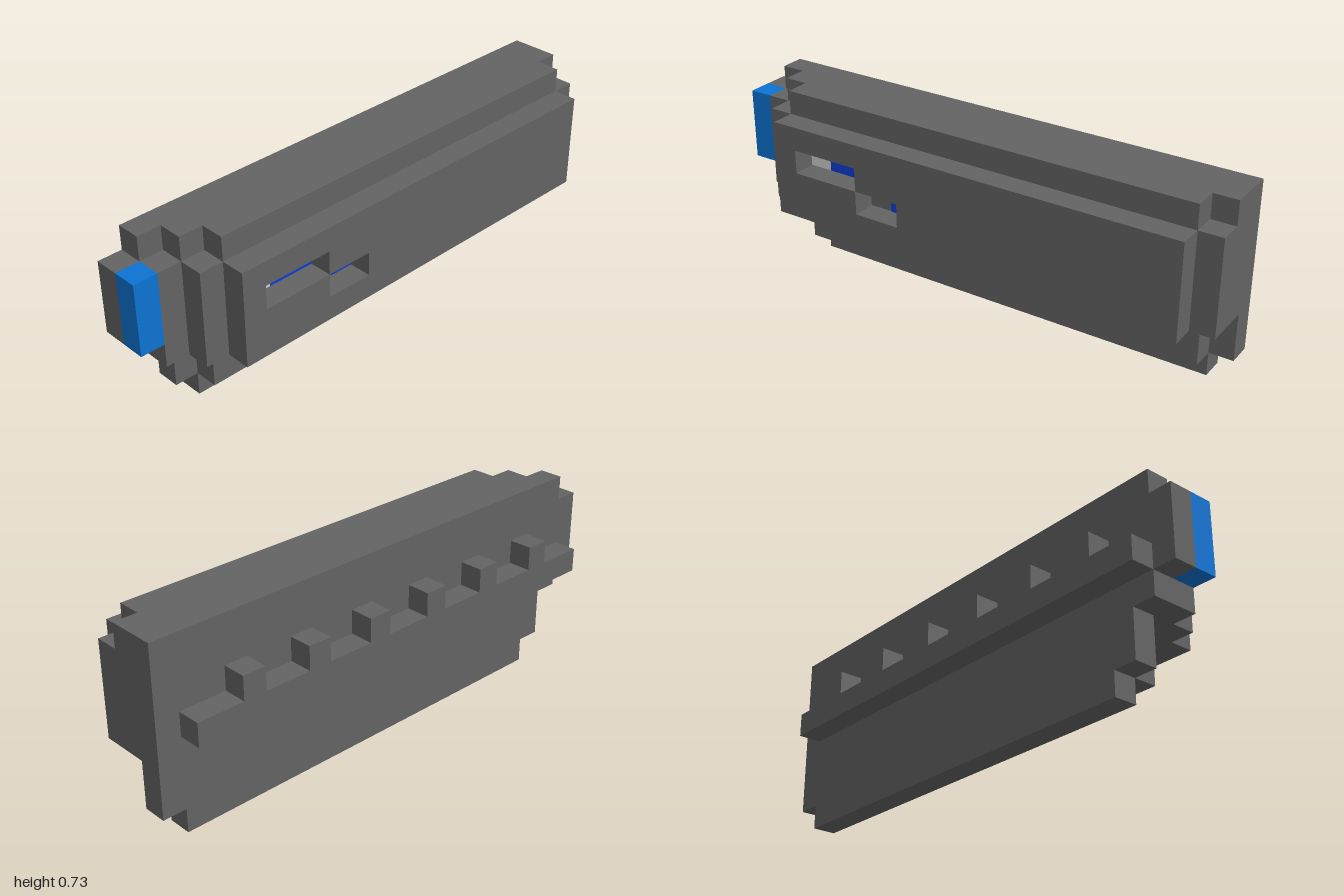
import * as THREE from 'three';

const U = 1 / 11; // one block

export function createModel() {
  const model = new THREE.Group();
  const paint = (name, hex) => {
    const m = new THREE.MeshStandardMaterial({ color: hex });
    m.name = name;
    return m;
  };
  const grey = paint('dark grey', 0x636363);
  const blue = paint('bright blue', 0x0d73d3);
  const deepBlue = paint('deep blue', 0x0a3cd4);
  const light = paint('light grey', 0xcdcdcd);

  // Box between block coordinates: x in 0..5, y in 0..8, z in -11..11
  const block = (name, mat, [x0, x1], [y0, y1], [z0, z1], parent = model) => {
    const geo = new THREE.BoxGeometry((x1 - x0) * U, (y1 - y0) * U, (z1 - z0) * U);
    const mesh = new THREE.Mesh(geo, mat);
    mesh.name = name;
    mesh.position.set(((x0 + x1) / 2 - 2.5) * U, ((y0 + y1) / 2) * U, ((z0 + z1) / 2) * U);
    parent.add(mesh);
  };

  // Stepped body, one slab per column: [y range, z range]
  const columns = {
    1: [[[0, 1], [-10, 8]], [[1, 3], [-11, 9]], [[3, 4], [-11, 10]], [[4, 7], [-11, 11]], [[7, 8], [-11, 10]]],
    2: [[[1, 3], [-10, 8]], [[3, 7], [-11, 10]], [[7, 8], [-11, 9]]],
    3: [[[3, 7], [-11, 9]], [[7, 8], [-10, 8]]],
    // outer column leaves a two-part recess open
    4: [[[3, 4], [-10, 8]], [[4, 5], [-10, 2]], [[4, 5], [4, 8]],
      [[5, 6], [-10, 4]], [[5, 6], [7, 8]], [[6, 7], [-10, 8]]],
  };
  const body = new THREE.Group();
  body.name = 'body';
  model.add(body);
  for (const [c, slabs] of Object.entries(columns)) {
    for (const [y, z] of slabs) block('bodySlab', grey, [+c, +c + 1], y, z, body);
  }

  // Blue block at the front
  block('frontBlock', blue, [2, 3], [4, 7], [10, 11]);

  // Coloured plates on the back wall of the recess
  const plateX = [4, 4.03];
  block('recessLight', light, plateX, [5, 6], [6, 7]);
  block('recessUpperBlue', deepBlue, plateX, [5, 6], [4, 6]);
  block('recessLowerBlue', deepBlue, plateX, [4, 5], [2, 3]);

  // Side rail with evenly spaced teeth
  const rail = new THREE.Group();
  rail.name = 'sideRail';
  model.add(rail);
  block('railBar', grey, [0, 1], [4, 5], [-10, 10], rail);
  for (let z = -8; z <= 7; z += 3) block('railTooth', grey, [0, 1], [5, 6], [z, z + 1], rail);

  return model;
}
